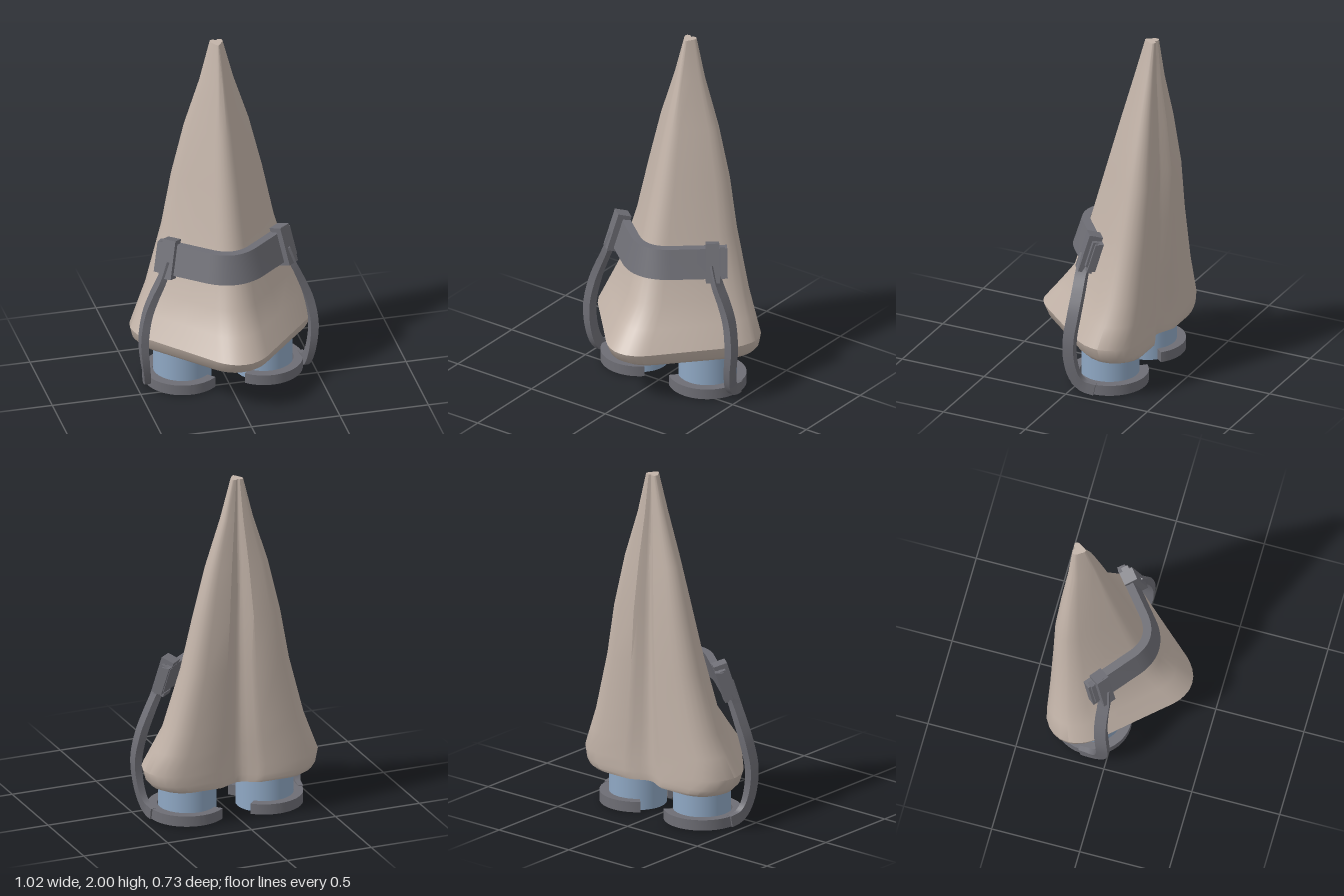
import * as THREE from 'three';
import { toCreasedNormals } from 'three/addons/utils/BufferGeometryUtils.js';

const V = (x, y, z) => new THREE.Vector3(x, y, z);

// Skin a list of rings (each counterclockwise about the loft direction), with end caps
function loft(rings, crease) {
  const n = rings[0].length, pos = [], idx = [];
  const add = p => pos.push(p.x, p.y, p.z) / 3 - 1;
  rings.forEach(r => r.forEach(add));
  for (let i = 0; i < rings.length - 1; i++) for (let j = 0; j < n; j++) {
    const k = (j + 1) % n, a = i * n + j, b = i * n + k;
    idx.push(a, b, b + n, a, b + n, a + n);
  }
  [0, rings.length - 1].forEach((i, end) => {
    const c = add(rings[i].reduce((s, p) => s.add(p), V(0, 0, 0)).divideScalar(n));
    for (let j = 0; j < n; j++) {
      const a = i * n + j, b = i * n + (j + 1) % n;
      idx.push(c, end ? a : b, end ? b : a);
    }
  });
  const g = new THREE.BufferGeometry();
  g.setAttribute('position', new THREE.Float32BufferAttribute(pos, 3));
  g.setIndex(idx);
  return toCreasedNormals(g, crease);
}

export function createModel() {
  const model = new THREE.Group();
  model.name = 'noseWithBrace';
  const skin = new THREE.MeshStandardMaterial({ color: 0xc2b3a8 });
  const blue = new THREE.MeshStandardMaterial({ color: 0x8fa8c4 });
  const dark = new THREE.MeshStandardMaterial({ color: 0x6e6e75 });
  const mesh = (geo, mat, name, parent = model) => {
    const m = new THREE.Mesh(geo, mat);
    m.name = name;
    parent.add(m);
    return m;
  };

  // Nose: heart-shaped half outline (x, depth from back), front tip to back lobe
  const half = [[0, 1], [0.08, 0.994], [0.16, 0.97], [0.22, 0.943], [0.28, 0.905], [0.58, 0.67],
    [0.89, 0.43], [0.96, 0.35], [0.995, 0.27], [1, 0.23], [0.985, 0.16], [0.94, 0.1],
    [0.88, 0.055], [0.8, 0.02], [0.68, 0], [0.28, 0]];
  const notch = [[0.2, 0.28], [0.11, 0.7], [0.05, 0.93]]; // x, share of the notch depth
  // Levels: height, half width, front z, back z, notch z
  const levels = [[0.215, 0.43, 0.22, -0.355, -0.305], [0.23, 0.47, 0.285, -0.362, -0.308],
    [0.26, 0.495, 0.335, -0.365, -0.31], [0.32, 0.51, 0.365, -0.365, -0.31],
    [0.44, 0.46, 0.27, -0.365, -0.31], [0.56, 0.41, 0.18, -0.365, -0.31],
    [0.9, 0.315, 0.073, -0.365, -0.31], [1.2, 0.255, -0.012, -0.365, -0.31],
    [1.5, 0.182, -0.097, -0.345, -0.305], [1.77, 0.095, -0.175, -0.322, -0.3],
    [2, 0.036, -0.24, -0.31, -0.3]];
  const noseRings = levels.map(([y, w, zf, zb, zn]) => {
    const side = [
      ...half.map(([u, v]) => V(u * w, y, zb + v * (zf - zb))),
      ...notch.map(([u, v]) => V(u * w, y, zb + v * (zn - zb)))];
    const mirrored = side.slice(1).reverse().map(p => V(-p.x, p.y, p.z));
    return [...side, V(0, y, zn), ...mirrored];
  });
  mesh(loft(noseRings, 0.6), skin, 'nose');

  // Strap: leaning band bent round the bridge
  const bend = new THREE.QuadraticBezierCurve3(V(-0.12, 0, 0.055), V(0, 0, 0.152), V(0.12, 0, 0.055));
  const path = [V(-0.36, 0, -0.14), ...bend.getPoints(14), V(0.36, 0, -0.14)];
  const strapRings = path.map((p, i) => {
    const t = path[Math.min(i + 1, path.length - 1)].clone().sub(path[Math.max(i - 1, 0)]).normalize();
    const out = t.cross(V(0, 1, 0));
    const corner = (y, d) => p.clone().addScaledVector(out, d).setY(y);
    return [corner(0.88, 0.023), corner(0.72, 0.073), corner(0.72, 0.027), corner(0.88, -0.023)];
  });
  mesh(loft(strapRings, 0.5), dark, 'strap');

  for (const s of [1, -1]) {
    const side = s > 0 ? 'left' : 'right';

    // Nostril tube
    mesh(new THREE.CylinderGeometry(0.16, 0.16, 0.28, 40), blue, side + 'NostrilTube')
      .position.set(s * 0.23, 0.145, -0.14);

    // Open ring round the tube, gap facing the middle
    const a = 2.32, c = new THREE.Shape();
    c.absarc(0, 0, 0.215, -a, a, false);
    c.absarc(0, 0, 0.163, a, -a, true);
    const ringGeo = new THREE.ExtrudeGeometry(c, { depth: 0.06, bevelEnabled: false, curveSegments: 36 });
    ringGeo.rotateX(-Math.PI / 2);
    const ring = mesh(toCreasedNormals(ringGeo, 0.5), dark, side + 'TubeRing');
    ring.position.set(s * 0.23, 0.01, -0.135);
    if (s < 0) ring.rotation.y = Math.PI;

    // Curved arm from clip down to ring
    const arm = new THREE.CatmullRomCurve3([[0.335, 0.8, -0.045], [0.367, 0.7, -0.035], [0.415, 0.59, -0.035],
      [0.455, 0.48, -0.03], [0.48, 0.33, -0.015], [0.472, 0.2, -0.015], [0.457, 0.1, -0.04],
      [0.447, 0.055, -0.08], [0.44, 0.04, -0.15]].map(([x, y, z]) => V(s * x, y, z)));
    const armRings = [];
    for (let i = 0; i <= 36; i++) {
      const p = arm.getPointAt(i / 36), t = arm.getTangentAt(i / 36);
      const n = V(s, 0, 0).addScaledVector(t, -s * t.x).normalize();
      const b = t.clone().cross(n);
      const thick = 0.014 + 0.008 * Math.sin(Math.PI * i / 36);
      armRings.push([[1, 1], [-1, 1], [-1, -1], [1, -1]].map(([u, v]) =>
        p.clone().addScaledVector(n, u * thick).addScaledVector(b, v * 0.033)));
    }
    mesh(loft(armRings, 0.5), dark, side + 'Arm');

    // Clip gripping the strap: outer bar, lips over both edges, end stop
    const clip = new THREE.Group();
    clip.name = side + 'Clip';
    clip.position.set(s * 0.312, 0.8, -0.07);
    clip.rotation.set(-0.3, s * 0.67, 0, 'YXZ');
    model.add(clip);
    const box = (name, w, h, d, x, y, z) =>
      mesh(new THREE.BoxGeometry(w, h, d), dark, name, clip).position.set(s * x, y, z);
    box('clipBar', 0.075, 0.22, 0.035, 0, 0, 0.04);
    box('clipTopLip', 0.075, 0.025, 0.07, 0, 0.098, 0.015);
    box('clipBottomLip', 0.075, 0.025, 0.07, 0, -0.098, 0.015);
    box('strapEndStop', 0.025, 0.15, 0.06, 0.055, 0.01, 0.005);
  }
  return model;
}
